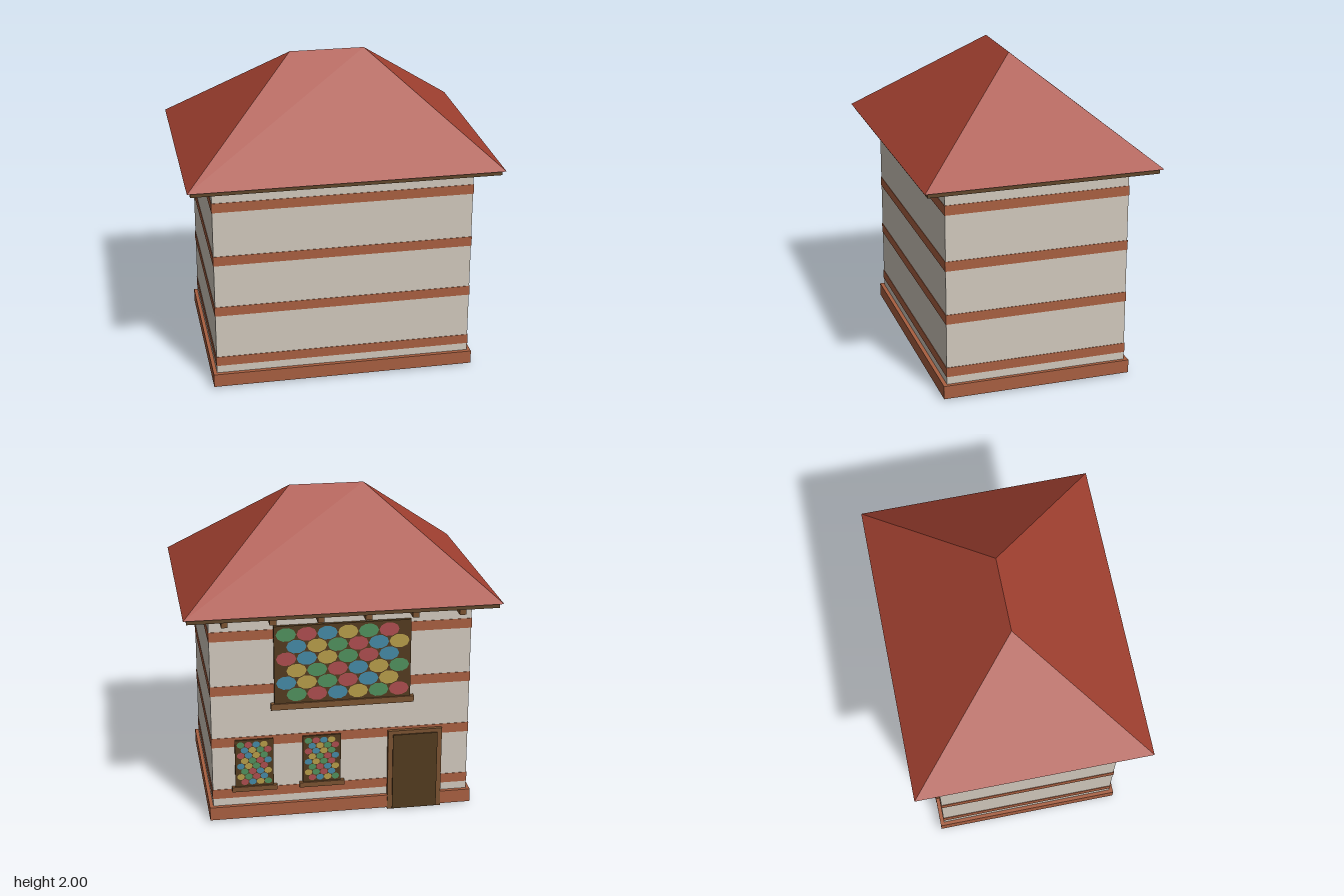
import * as THREE from 'three';
import { mergeGeometries } from 'three/addons/utils/BufferGeometryUtils.js';

const mat = (name, color, side = THREE.FrontSide) => {
  const m = new THREE.MeshStandardMaterial({ color, side });
  m.name = name;
  return m;
};

export function createModel() {
  const house = new THREE.Group();
  house.name = 'house';

  const plaster = mat('plaster', 0xd0c8bc);
  const brick = mat('brick', 0xa85f40);
  const tile = mat('roof tile', 0xa34131);
  const eaveWood = mat('eave wood', 0x60462a);
  const darkWood = mat('dark wood', 0x523a1e);
  const wood = mat('wood', 0x7a5230);
  const glass = [
    mat('green glass', 0x4f8f5c), mat('red glass', 0xac4c4e),
    mat('blue glass', 0x4488a4), mat('yellow glass', 0xb59c48),
  ];

  // Box given by its limits on each axis
  const box = (name, material, [x0, x1], [y0, y1], [z0, z1], parent = house) => {
    const g = new THREE.BoxGeometry(x1 - x0, y1 - y0, z1 - z0);
    g.translate((x0 + x1) / 2, (y0 + y1) / 2, (z0 + z1) / 2);
    const mesh = new THREE.Mesh(g, material);
    mesh.name = name;
    parent.add(mesh);
    return mesh;
  };

  // Walls, plinth and brick courses
  box('walls', plaster, [-0.812, 0.812], [0.01, 1.38], [-0.58, 0.58]);
  box('plinth', brick, [-0.835, 0.835], [0.014, 0.1], [-0.605, 0.605]);
  for (const y of [0.15, 0.5, 0.845, 1.2]) {
    box('brickCourse', brick, [-0.815, 0.815], [y, y + 0.062], [-0.583, 0.583]);
  }
  for (const z of [-0.3, 0.3]) {
    box('undersideStripe', brick, [-0.812, 0.812], [0.007, 0.012], [z - 0.055, z + 0.055]);
  }

  // Eave board and hipped roof
  box('eaveBoard', eaveWood, [-0.95, 0.95], [1.37, 1.402], [-0.72, 0.72]);
  const a = [-0.97, 1.4, 0.74], b = [0.97, 1.4, 0.74];
  const c = [0.97, 1.4, -0.74], d = [-0.97, 1.4, -0.74];
  const l = [-0.235, 2, 0], r = [0.235, 2, 0];
  const corners = [a, b, r, a, r, l, b, c, r, c, d, l, c, l, r, d, a, l, a, d, c, a, c, b];
  const roofGeometry = new THREE.BufferGeometry();
  roofGeometry.setAttribute('position', new THREE.Float32BufferAttribute(corners.flat(), 3));
  roofGeometry.computeVertexNormals();
  const roof = new THREE.Mesh(roofGeometry, tile);
  roof.name = 'roof';
  house.add(roof);

  // Rafter ends under the rear eave
  for (let i = 0; i < 6; i++) {
    const x = -0.725 + i * 0.29;
    box('rafterEnd', wood, [x - 0.02, x + 0.02], [1.333, 1.372], [-0.706, -0.57]);
  }

  // Window: dark panel, staggered coloured panes and a sill
  const addWindow = (name, [x0, x1], [y0, y1], z, sillDrop, cols, rows) => {
    const group = new THREE.Group();
    group.name = name;
    house.add(group);
    box('windowPanel', darkWood, [x0, x1], [y0, y1], [z, -0.57], group);
    box('sill', wood, [x0 - 0.022, x1 + 0.022], [y0 - sillDrop, y0], [z - 0.01, -0.57], group);
    const margin = 0.01;
    const px = (x1 - x0 - 2 * margin) / (cols + 0.5);
    const py = (y1 - y0 - 2 * margin) / (rows + 0.16);
    const panes = glass.map(() => []);
    for (let row = 0; row < rows; row++) {
      for (let col = 0; col < cols; col++) {
        const g = new THREE.CircleGeometry(1, 10);
        g.rotateY(Math.PI);
        g.scale(px * 0.49, py * 0.57, 1);
        g.translate(
          x1 - margin - (col + 0.5 + (row % 2) * 0.5) * px,
          y1 - margin - (row + 0.58) * py,
          z - 0.003
        );
        panes[(col + row * 2 + (row >> 1)) % 4].push(g);
      }
    }
    panes.forEach((list, i) => {
      const mesh = new THREE.Mesh(mergeGeometries(list), glass[i]);
      mesh.name = 'panes';
      group.add(mesh);
    });
  };
  addWindow('largeWindow', [-0.43, 0.42], [0.78, 1.285], -0.602, 0.04, 6, 6);
  addWindow('smallWindowLeft', [0.43, 0.67], [0.23, 0.545], -0.595, 0.032, 4, 8);
  addWindow('smallWindowRight', [0.005, 0.245], [0.23, 0.545], -0.595, 0.032, 4, 8);

  // Door with its frame
  box('doorFrame', wood, [-0.64, -0.295], [0.003, 0.545], [-0.607, -0.57]);
  box('door', darkWood, [-0.61, -0.325], [0.008, 0.52], [-0.616, -0.57]);

  return house;
}
